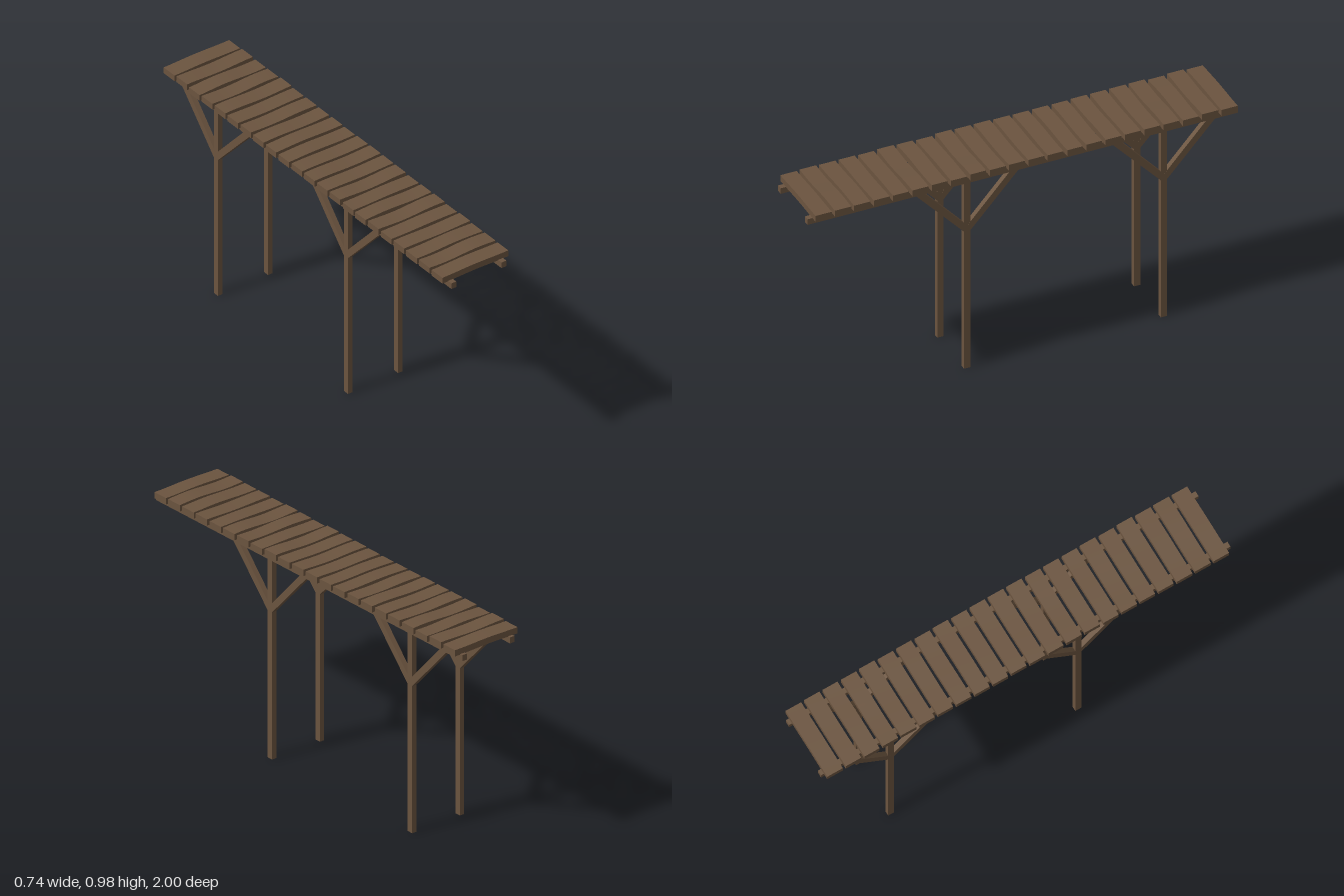
import * as THREE from 'three';

export function createModel() {
  const model = new THREE.Group();
  model.name = 'footbridge';
  const wood = new THREE.MeshStandardMaterial({ color: 0x6b543f });
  wood.name = 'weathered wood';

  // Everything is built along z, then the whole bridge is turned
  const bridge = new THREE.Group();
  bridge.name = 'bridge';
  bridge.rotation.y = THREE.MathUtils.degToRad(12.1);
  model.add(bridge);

  let seed = 7;
  const random = () => {
    seed = (seed * 16807) % 2147483647;
    return seed / 2147483647;
  };
  const jitter = (amount) => (random() * 2 - 1) * amount;

  const add = (name, geometry, x, y, z) => {
    const mesh = new THREE.Mesh(geometry, wood);
    mesh.name = name;
    mesh.position.set(x, y, z);
    bridge.add(mesh);
    return mesh;
  };

  // Deck planks, each slightly warped along its length
  const count = 22, deckLength = 1.96, pitch = deckLength / count;
  for (let i = 0; i < count; i++) {
    const geometry = new THREE.BoxGeometry(0.342 + jitter(0.002), 0.029, pitch - 0.015 + jitter(0.002), 10, 1, 1);
    const position = geometry.attributes.position;
    const phase = random() * Math.PI * 2;
    const amplitude = 0.001 + random() * 0.0025;
    for (let v = 0; v < position.count; v++) {
      const wave = Math.sin(position.getX(v) * 20 + phase) * amplitude;
      position.setY(v, position.getY(v) + wave);
    }
    geometry.computeVertexNormals();
    add('deckPlank', geometry, jitter(0.001), 0.9635 + jitter(0.001), -0.005 - deckLength / 2 + (i + 0.5) * pitch);
  }

  // V-shaped pair of braces, cut level under the beam
  const vShape = new THREE.Shape([
    [0, 0.668], [0.237, 0.924], [0.195, 0.924], [0, 0.711], [-0.195, 0.924], [-0.237, 0.924],
  ].map(([z, y]) => new THREE.Vector2(z, y)));
  const braceGeometry = new THREE.ExtrudeGeometry(vShape, { depth: 0.024, bevelEnabled: false });
  braceGeometry.translate(0, 0, -0.012);
  braceGeometry.rotateY(Math.PI / 2);

  // Long beams with posts and braces on both sides
  for (const x of [-0.13, 0.13]) {
    add('beam', new THREE.BoxGeometry(0.025, 0.028, 1.984), x, 0.936, 0);
    for (const z of [-0.652, 0.255]) {
      add('post', new THREE.BoxGeometry(0.023, 0.93, 0.029), x, 0.465, z);
      add('braces', braceGeometry, x, 0, z);
    }
  }
  return model;
}
